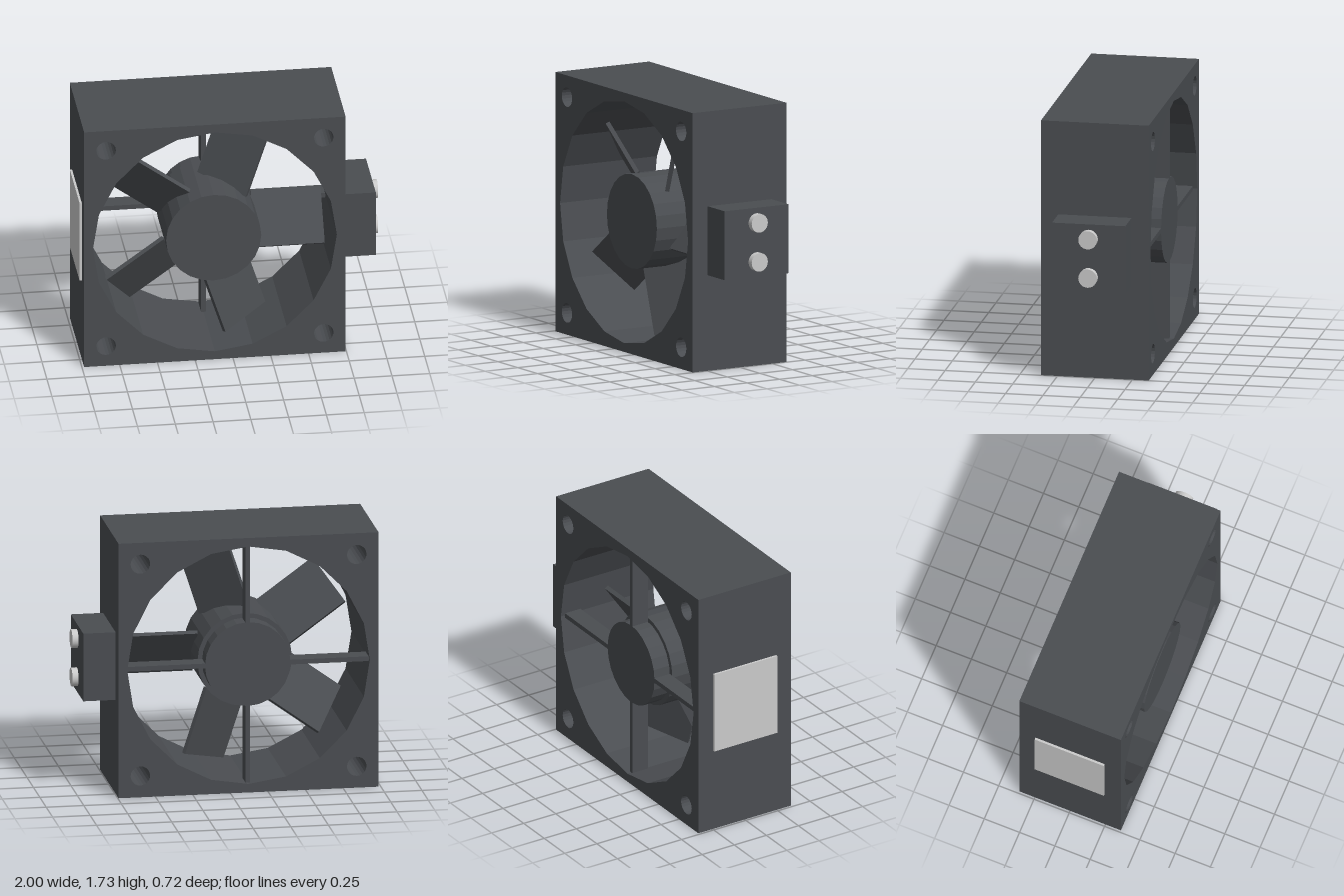
import * as THREE from 'three';

const CX = -0.12, CY = 0.865, HALF = 0.865;

const darkPlastic = new THREE.MeshStandardMaterial({ color: 0x4a4d51 });
darkPlastic.name = 'darkPlastic';
const lightMetal = new THREE.MeshStandardMaterial({ color: 0xcacaca });
lightMetal.name = 'lightMetal';

function add(parent, name, geometry, material, x = 0, y = 0, z = 0) {
  const mesh = new THREE.Mesh(geometry, material);
  mesh.name = name;
  mesh.position.set(x, y, z);
  parent.add(mesh);
  return mesh;
}

// Faceted cylinder
function facetedCylinder(radius, length, sides) {
  const g = new THREE.CylinderGeometry(radius, radius, length, sides).toNonIndexed();
  g.computeVertexNormals();
  return g;
}

// Regular polygon outline used as a hole
function polygonHole(x, y, radius, sides) {
  const points = [];
  for (let i = 0; i < sides; i++) {
    const a = -i / sides * Math.PI * 2;
    points.push(new THREE.Vector2(x + radius * Math.cos(a), y + radius * Math.sin(a)));
  }
  return new THREE.Path(points);
}

export function createModel() {
  const model = new THREE.Group();
  model.name = 'axialFan';

  // Everything in this group is centred on the fan axis
  const fan = new THREE.Group();
  fan.name = 'fan';
  fan.position.set(CX, CY, 0);
  model.add(fan);

  // Square housing with the bore and four mounting holes
  const outline = new THREE.Shape([
    new THREE.Vector2(-HALF, -HALF), new THREE.Vector2(HALF, -HALF),
    new THREE.Vector2(HALF, HALF), new THREE.Vector2(-HALF, HALF),
  ]);
  outline.holes.push(polygonHole(0, 0, 0.807, 20));
  for (const sx of [-1, 1]) {
    for (const sy of [-1, 1]) outline.holes.push(polygonHole(sx * 0.72, sy * 0.72, 0.065, 20));
  }
  const housing = new THREE.ExtrudeGeometry(outline, { depth: 0.72, bevelEnabled: false });
  housing.translate(0, 0, -0.36);
  add(fan, 'housing', housing, darkPlastic);

  // Rotor hub in front of the fixed motor mount
  add(fan, 'rotorHub', facetedCylinder(0.315, 0.51, 24), darkPlastic, 0, 0, 0.045).rotation.x = Math.PI / 2;
  add(fan, 'motorMount', facetedCylinder(0.285, 0.13, 24), darkPlastic, 0, 0, -0.265).rotation.x = Math.PI / 2;

  // Struts from the motor mount to the bore
  for (let i = 0; i < 4; i++) {
    const arm = new THREE.Group();
    arm.name = 'strutArm';
    arm.rotation.z = i * Math.PI / 2;
    add(arm, 'strut', new THREE.BoxGeometry(0.56, 0.032, 0.12), darkPlastic, 0.527, 0, -0.27);
    fan.add(arm);
  }

  // Pitched flat blades
  for (let i = 0; i < 5; i++) {
    const arm = new THREE.Group();
    arm.name = 'bladeArm';
    arm.rotation.z = i * Math.PI * 2 / 5;
    const blade = add(arm, 'blade', new THREE.BoxGeometry(0.465, 0.375, 0.028), darkPlastic, 0.518, 0, 0.065);
    blade.rotation.x = -0.61;
    fan.add(arm);
  }

  // Terminal box with two screws
  add(model, 'terminalBox', new THREE.BoxGeometry(0.22, 0.46, 0.49), darkPlastic, 0.85, 0.868, 0);
  for (const y of [0.74, 1.0]) {
    add(model, 'terminalScrew', new THREE.CylinderGeometry(0.062, 0.062, 0.04, 24), lightMetal, 0.98, y, 0)
      .rotation.z = Math.PI / 2;
  }

  // Rating plate on the opposite side
  add(model, 'ratingPlate', new THREE.BoxGeometry(0.015, 0.57, 0.49), lightMetal, -0.9925, CY, 0);

  return model;
}
